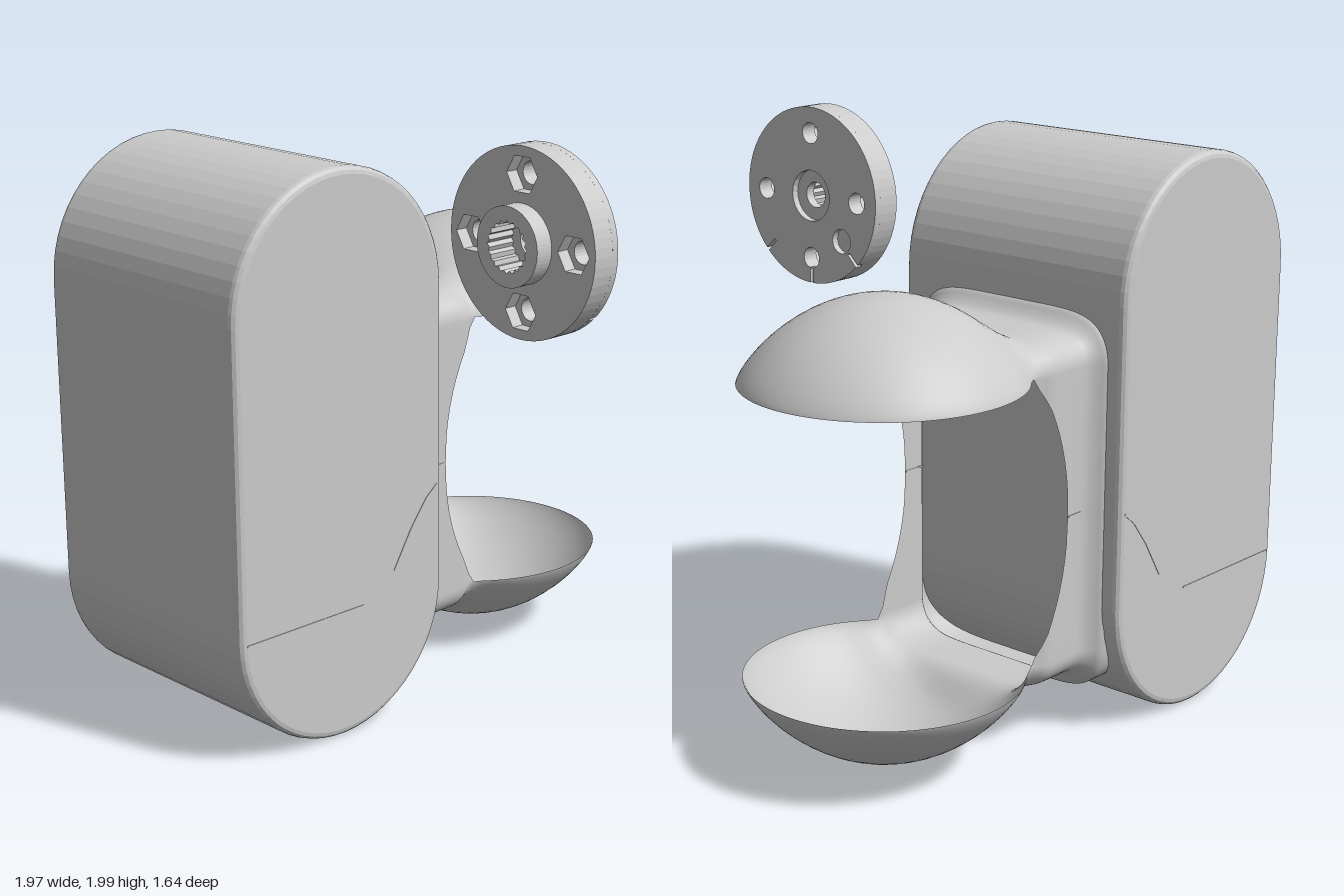
import * as THREE from 'three';

const mat = new THREE.MeshStandardMaterial({ color: 0xcccccc });
const thinMat = new THREE.MeshStandardMaterial({ color: 0xcccccc, side: THREE.DoubleSide });
const { lerp, smoothstep, clamp } = THREE.MathUtils;

function add(parent, name, geo, material = mat) {
  const mesh = new THREE.Mesh(geo, material);
  mesh.name = name;
  parent.add(mesh);
  return mesh;
}

// Upright stadium-shaped housing with a small rounded edge
function housing() {
  const b = 0.025, r = 0.445 - b, low = 0.46, high = 1.49;
  const s = new THREE.Shape();
  s.absarc(0, high, r, 0, Math.PI);
  s.absarc(0, low, r, Math.PI, Math.PI * 2);
  s.closePath();
  const geo = new THREE.ExtrudeGeometry(s, {
    depth: 0.94 - 2 * b, bevelSize: b, bevelThickness: b, bevelSegments: 3, curveSegments: 14,
  });
  return geo.translate(-0.54, 0, -0.82 + b);
}

// Half of the clamp: an open neck that flows into a hollow dome, lofted along x
const MID = 0.807, ZC = -0.355, BASE = 0.488;
function clampHalf() {
  const R = 0.46, cx = 0.525, legs = 8, arc = 40;
  const xs = [-0.25, -0.13, -0.1, -0.085, -0.07, -0.055, -0.04, -0.02, 0.01, 0.04,
    0.044, 0.05, 0.06, 0.075, 0.09, 0.11, 0.13, 0.15, 0.175, 0.2];
  const start = Math.acos((cx - 0.2) / R);
  for (let i = 1; i <= 28; i++) xs.push(cx - R * Math.cos(lerp(start, Math.PI, i / 28)));
  const pos = [], idx = [];
  for (const x of xs) {
    const flare = clamp((-0.02 - x) / 0.08, 0, 1) ** 2;
    const q = Math.max(0, 1 - ((x - cx) / R) ** 2);
    const t = smoothstep(x, 0.1, 0.26);
    const domeW = R * Math.sqrt(q), domeH = 0.275 * q ** 0.8;
    const w = lerp(0.355 + 0.05 * flare, domeW, smoothstep(x, 0.13, 0.25));
    const h = x > 0.3 ? domeH : Math.max(0.105 + 0.06 * flare, lerp(0.105, domeH, t));
    const m = lerp(6, 2, t), e = lerp(0.5, 0.8, t);
    const edge = BASE * clamp((x - 0.04) / 0.16, 0, 1) ** 0.45;
    for (let j = 0; j < legs; j++) pos.push(x, lerp(edge, BASE, j / legs), -w);
    for (let j = 0; j <= arc; j++) {
      const u = -Math.cos((Math.PI * j) / arc);
      pos.push(x, BASE + h * Math.max(0, 1 - Math.abs(u) ** m) ** e, w * u);
    }
    for (let j = legs - 1; j >= 0; j--) pos.push(x, lerp(edge, BASE, j / legs), w);
  }
  const n = 2 * legs + arc + 1;
  for (let i = 0; i < xs.length - 1; i++) {
    for (let j = 0; j < n - 1; j++) {
      const a = i * n + j, c = a + n;
      idx.push(a, a + 1, c, a + 1, c + 1, c);
    }
  }
  const geo = new THREE.BufferGeometry();
  geo.setAttribute('position', new THREE.Float32BufferAttribute(pos, 3));
  geo.setIndex(idx);
  geo.computeVertexNormals();
  return geo;
}

// Polygonal or toothed hole outline
function hole(x, y, r, sides = 24, tooth = 0) {
  const pts = [];
  for (let i = 0; i < sides; i++) {
    const a = (i / sides) * Math.PI * 2, k = i % 2 ? r - tooth : r;
    pts.push(new THREE.Vector2(x + k * Math.cos(a), y + k * Math.sin(a)));
  }
  return new THREE.Path(pts);
}

// Four bolt holes around the knob axis
const bolts = (r, sides) => [0, 1, 2, 3].map((i) =>
  hole(0.22 * Math.cos(i * Math.PI / 2), 0.22 * Math.sin(i * Math.PI / 2), r, sides));

// Round plate spanning x0..x1, optionally with three slits in its lower rim
function plate(radius, x0, x1, holes, slits = false) {
  const s = new THREE.Shape();
  if (slits) {
    const cuts = [-135, -90, -45].map((d) => (d * Math.PI) / 180), g = 0.02;
    cuts.forEach((c, i) => {
      const next = i < 2 ? cuts[i + 1] : cuts[0] + Math.PI * 2;
      s.lineTo(0.255 * Math.cos(c - g), 0.255 * Math.sin(c - g));
      s.lineTo(0.255 * Math.cos(c + g), 0.255 * Math.sin(c + g));
      s.absarc(0, 0, radius, c + g, next - g);
    });
    s.curves.shift();
    s.closePath();
  } else {
    s.absarc(0, 0, radius, 0, Math.PI * 2);
  }
  s.holes.push(...holes);
  const geo = new THREE.ExtrudeGeometry(s, { depth: x1 - x0, bevelEnabled: false, curveSegments: 32 });
  return geo.rotateY(Math.PI / 2).translate(x0, 0, 0);
}

// Fine seam line made of thin strips through points [x, y] at depth z
function seam(parent, name, points, z) {
  for (let i = 0; i < points.length - 1; i++) {
    const [ax, ay] = points[i], [bx, by] = points[i + 1];
    const strip = add(parent, name, new THREE.BoxGeometry(Math.hypot(bx - ax, by - ay), 0.006, 0.004));
    strip.position.set((ax + bx) / 2, (ay + by) / 2, z);
    strip.rotation.z = Math.atan2(by - ay, bx - ax);
  }
}

export function createModel() {
  const model = new THREE.Group();
  add(model, 'housing', housing());

  // Upper and lower jaws mirror each other
  const half = clampHalf();
  for (const side of [1, -1]) {
    const jaw = add(model, side > 0 ? 'upperJaw' : 'lowerJaw', half, thinMat);
    jaw.position.set(0, MID, ZC);
    jaw.scale.y = side;
  }

  // Separate round knob facing +x
  const knob = new THREE.Group();
  knob.name = 'knob';
  knob.position.set(0, 1.69, 0.51);
  model.add(knob);
  add(knob, 'knobFace', plate(0.31, -0.055, -0.03,
    [...bolts(0.037), hole(0, 0, 0.09), hole(0.147, -0.142, 0.043)], true));
  add(knob, 'knobCore', plate(0.31, -0.09, -0.055, [...bolts(0.037), hole(0, 0, 0.045)]));
  add(knob, 'knobBack', plate(0.31, -0.135, -0.09, [...bolts(0.065, 6), hole(0, 0, 0.085, 40, 0.01)]));
  add(knob, 'knobHub', plate(0.13, -0.2, -0.135, [hole(0, 0, 0.085, 40, 0.01)]));

  // Seams on the front and back faces
  for (const s of [1, -1]) {
    seam(model, 'housingSeam', [[-0.96, 0.455], [-0.46, 0.455]], -0.35 + s * 0.47);
    seam(model, 'cableSeam', [[-0.12, 0.8], [-0.17, 0.76], [-0.24, 0.67], [-0.32, 0.54]], -0.35 + s * 0.47);
    seam(model, 'neckSeam', [[-0.05, 0.807], [0.035, 0.807]], ZC + s * 0.355);
  }
  return model;
}
